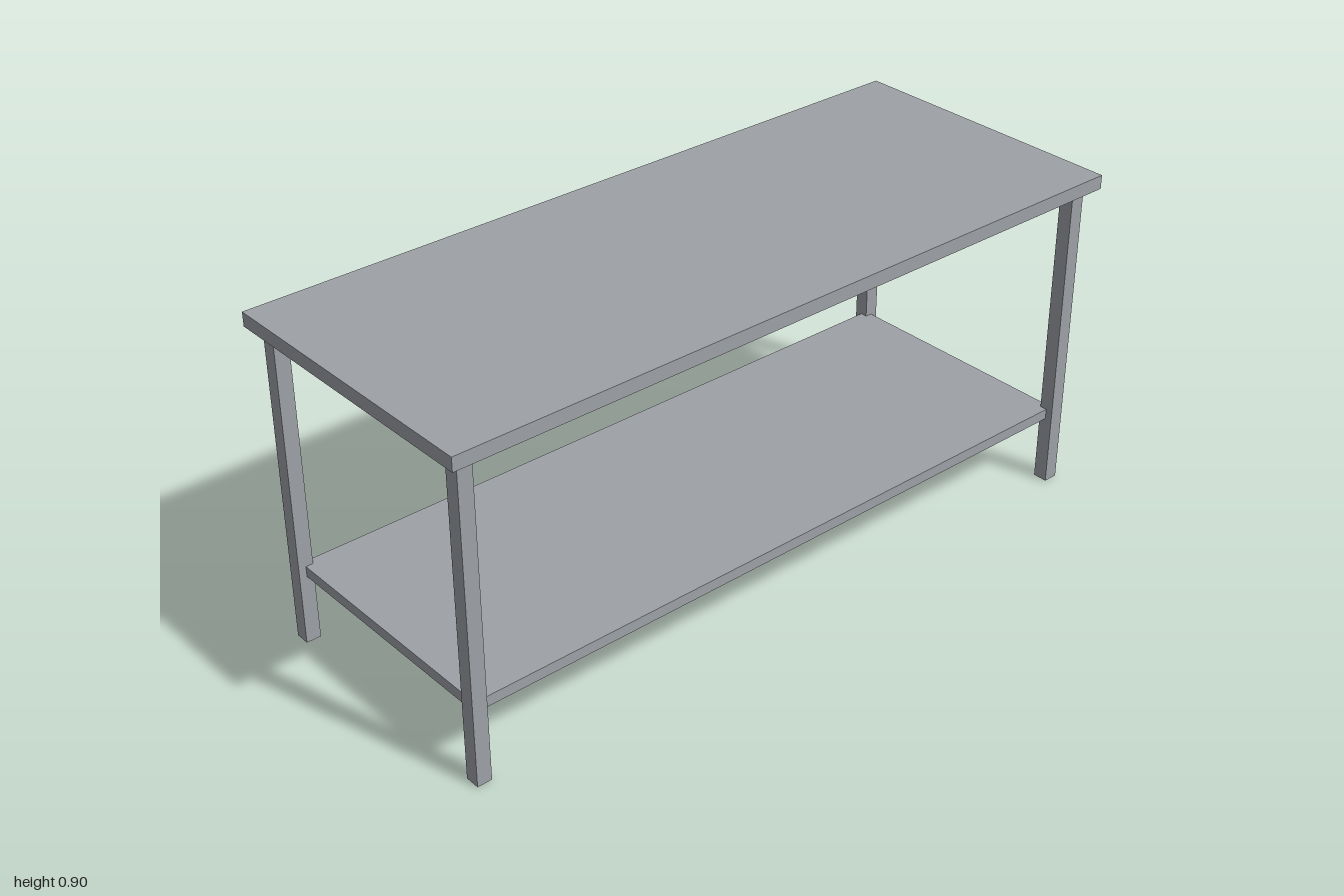
import * as THREE from 'three';

export function createModel() {
  const group = new THREE.Group();
  const steel = new THREE.MeshStandardMaterial({ color: 0x9ea2a7 });
  steel.name = 'brushed steel';

  // Box spanning bottom to top, centred on x and z
  function addBox(name, width, depth, bottom, top, x = 0, z = 0) {
    const mesh = new THREE.Mesh(new THREE.BoxGeometry(width, top - bottom, depth), steel);
    mesh.name = name;
    mesh.position.set(x, (bottom + top) / 2, z);
    group.add(mesh);
  }

  const topUnderside = 0.8625;
  addBox('tableTop', 2, 0.8, topUnderside, 0.9);

  // The shelf corners are let into the legs
  addBox('lowerShelf', 1.9, 0.7, 0.188, 0.217);

  // Four square legs, inset from the corners
  for (const [end, z] of [['front', 0.35], ['back', -0.35]]) {
    for (const [side, x] of [['Left', 0.95], ['Right', -0.95]]) {
      addBox(`${end}${side}Leg`, 0.04, 0.04, 0, topUnderside, x, z);
    }
  }

  return group;
}
